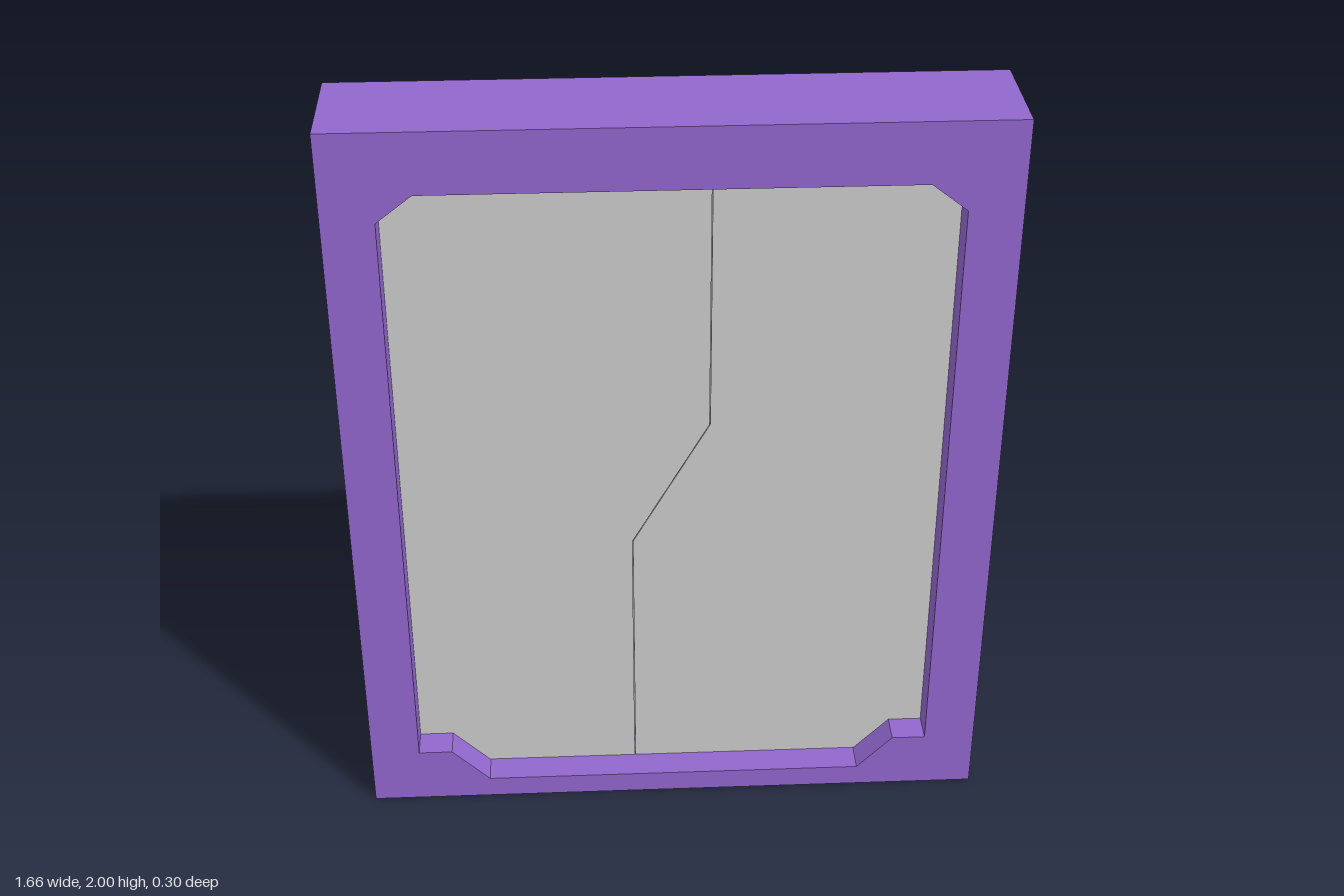
import * as THREE from 'three';

const W = 0.83, H = 2, D = 0.15;          // half width, height, half depth
const SLOT = 0.07, SLOT_LOW = 0.06, SLOT_HIGH = 1.89;

const frameMaterial = new THREE.MeshStandardMaterial({ color: 0x9166cc, flatShading: true });
const doorMaterial = new THREE.MeshStandardMaterial({ color: 0xcccccc, flatShading: true });

const toPoints = (list) => list.map(([x, y]) => new THREE.Vector2(x, y));

function addMesh(parent, name, geometry, material) {
  const mesh = new THREE.Mesh(geometry, material);
  mesh.name = name;
  parent.add(mesh);
  return mesh;
}

function extrude(shape, z0, z1) {
  const geometry = new THREE.ExtrudeGeometry(shape, { depth: z1 - z0, bevelEnabled: false });
  return geometry.translate(0, 0, z0);
}

export function createModel() {
  const model = new THREE.Group();
  model.name = 'slidingDoor';

  // Frame face with the chamfered doorway cut out
  const face = new THREE.Shape(toPoints([[-W, 0], [W, 0], [W, H], [-W, H]]));
  face.holes.push(new THREE.Path(toPoints([
    [-0.7, 0.16], [-0.61, 0.16], [-0.51, 0.06], [0.51, 0.06], [0.605, 0.16], [0.695, 0.16],
    [0.695, 1.77], [0.605, 1.84], [-0.61, 1.84], [-0.7, 1.77],
  ])));

  const frame = new THREE.Group();
  frame.name = 'doorFrame';
  model.add(frame);
  addMesh(frame, 'frontFrame', extrude(face, SLOT, D), frameMaterial);
  addMesh(frame, 'backFrame', extrude(face, -D, -SLOT), frameMaterial);

  // Bars joining the two faces, leaving a slot open at both sides
  for (const [name, low, high] of [['sill', 0, SLOT_LOW], ['lintel', SLOT_HIGH, H]]) {
    const bar = addMesh(frame, name, new THREE.BoxGeometry(2 * W, high - low, 2 * SLOT), frameMaterial);
    bar.position.y = (low + high) / 2;
  }

  // Two door leaves meeting along a stepped seam
  const seam = [[-0.105, SLOT_LOW], [-0.105, 0.79], [0.095, 1.145], [0.095, SLOT_HIGH]];
  for (const [name, edge] of [['rightDoor', -0.745], ['leftDoor', 0.745]]) {
    const gap = Math.sign(edge) * 0.001;
    const outline = seam.map(([x, y]) => [x + gap, y]);
    outline.push([edge, SLOT_HIGH], [edge, SLOT_LOW]);
    addMesh(model, name, extrude(new THREE.Shape(toPoints(outline)), -0.068, 0.068), doorMaterial);
  }

  return model;
}
